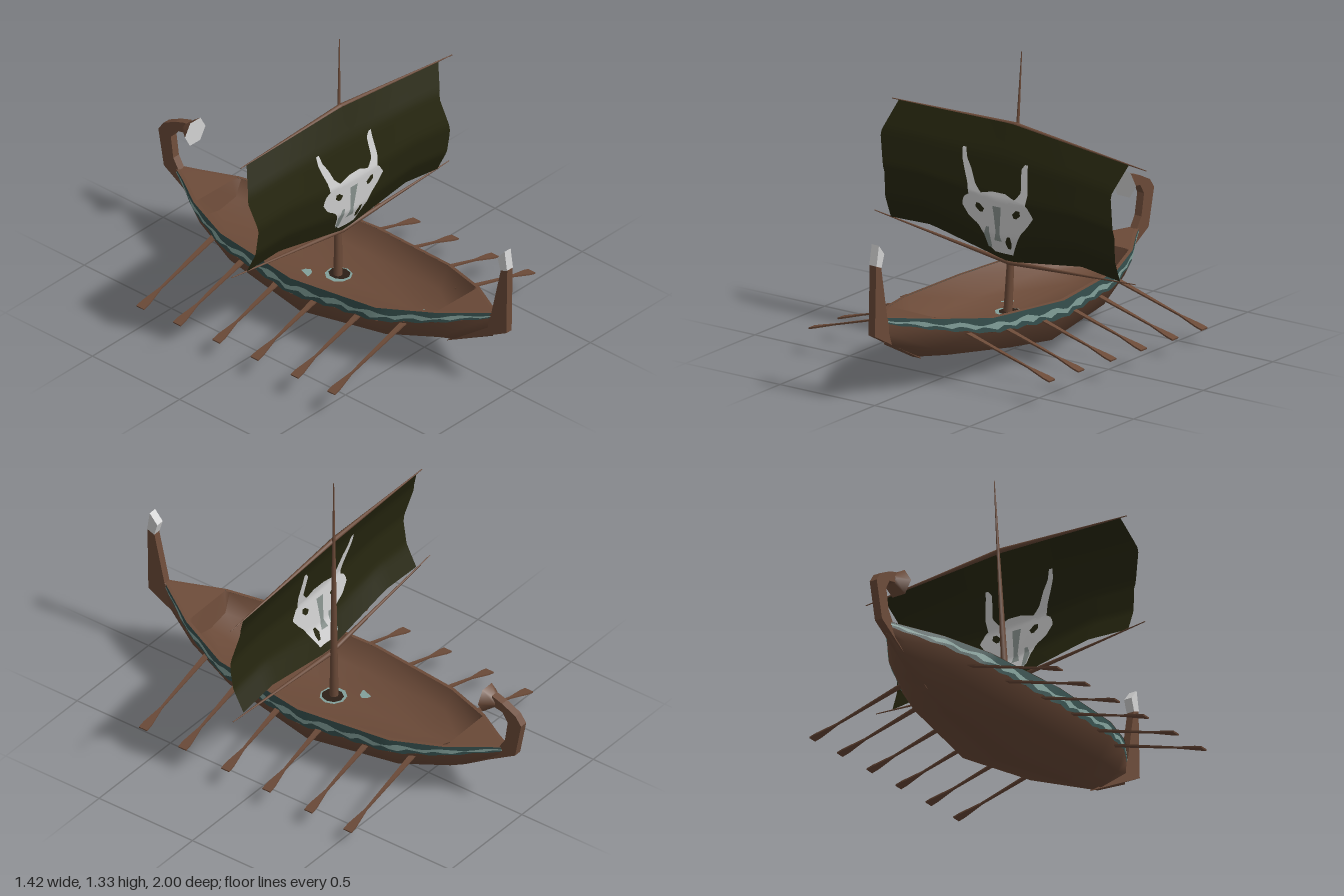
import * as THREE from 'three';

const mat = (name, color) => Object.assign(
  new THREE.MeshStandardMaterial({ color, side: THREE.DoubleSide }), { name });
const wood = mat('brown wood', 0x6b4a38);
const darkWood = mat('dark wood', 0x2c1f16);
const cloth = mat('dark olive cloth', 0x26260f);
const bone = mat('bone white', 0xd2d2d2);
const teal = mat('dark teal paint', 0x36504e);
const paleTeal = mat('pale teal paint', 0x82a09a);
const grey = mat('grey shade', 0x8a9490);

// piecewise linear lookup in [[key, value...], ...] sorted by key
function look(table, k, col = 1) {
  let i = 1;
  while (i < table.length - 1 && k > table[i][0]) i++;
  const a = table[i - 1], b = table[i];
  const t = THREE.MathUtils.clamp((k - a[0]) / (b[0] - a[0]), 0, 1);
  return a[col] + (b[col] - a[col]) * t;
}

// skin over equal-length rows of [x, y, z]
function loft(name, rows, material) {
  const n = rows[0].length, idx = [];
  for (let r = 0; r < rows.length - 1; r++)
    for (let c = 0; c < n - 1; c++) {
      const a = r * n + c, b = a + n;
      idx.push(a, b, a + 1, a + 1, b, b + 1);
    }
  const g = new THREE.BufferGeometry();
  g.setAttribute('position', new THREE.Float32BufferAttribute(rows.flat(2), 3));
  g.setIndex(idx);
  g.computeVertexNormals();
  return named(name, g, material);
}

function named(name, geometry, material) {
  const m = new THREE.Mesh(geometry, material);
  m.name = name;
  return m;
}

// tapered round bar between two points
function rod(name, a, b, ra, rb) {
  const A = new THREE.Vector3(...a), B = new THREE.Vector3(...b), d = B.clone().sub(A);
  const m = named(name, new THREE.CylinderGeometry(rb, ra, d.length(), 8), wood);
  m.position.copy(A).add(B).multiplyScalar(0.5);
  m.quaternion.setFromUnitVectors(new THREE.Vector3(0, 1, 0), d.normalize());
  return m;
}

// flat outline in (z, y) given thickness across x
function post(name, pts, width, material) {
  const g = new THREE.ExtrudeGeometry(new THREE.Shape(pts.map(p => new THREE.Vector2(...p))),
    { depth: width, bevelEnabled: false });
  g.translate(0, 0, -width / 2).rotateY(-Math.PI / 2);
  return named(name, g, material);
}

const range = (a, b, n) => Array.from({ length: n + 1 }, (_, i) => a + (b - a) * i / n);

// hull stations: z, half width, rim y, band bottom y, chine half width, chine y, keel y, floor y
const ST = [
  [-0.90, 0.012, 0.312, 0.290, 0.010, 0.28, 0.255, 0.25],
  [-0.82, 0.055, 0.306, 0.275, 0.040, 0.24, 0.205, 0.23],
  [-0.68, 0.140, 0.294, 0.248, 0.100, 0.17, 0.115, 0.20],
  [-0.45, 0.225, 0.278, 0.215, 0.165, 0.115, 0.060, 0.175],
  [0.00, 0.278, 0.272, 0.195, 0.220, 0.082, 0.003, 0.16],
  [0.45, 0.235, 0.300, 0.235, 0.175, 0.140, 0.085, 0.18],
  [0.70, 0.140, 0.340, 0.290, 0.105, 0.200, 0.140, 0.23],
  [0.91, 0.012, 0.372, 0.345, 0.010, 0.300, 0.250, 0.28]];
const st = (z, c) => look(ST, z, c);

function buildHull() {
  const hull = new THREE.Group();
  hull.name = 'hull';
  hull.add(loft('hullPlanking', ST.map(([z, w, , b, c, cy, k]) =>
    [[-w, b, z], [-c, cy, z], [0, k, z], [c, cy, z], [w, b, z]]), wood));

  // hollow inside with floor, end walls and raised end decks
  const inner = z => {
    const w = Math.max(st(z, 1) - 0.012, 0.002), r = st(z, 2), f = st(z, 7);
    return [[-w, r, z], [-w * 0.76, f + 0.02, z], [0, f, z], [w * 0.76, f + 0.02, z], [w, r, z]];
  };
  hull.add(loft('innerFloor', [-0.66, -0.45, 0, 0.45, 0.68].map(inner), wood));
  for (const [za, zb, ze] of [[0.68, 0.70, 0.91], [-0.66, -0.68, -0.90]]) {
    const lid = inner(zb).map(p => [p[0], st(zb, 2), zb]);
    hull.add(loft('endWall', [inner(za), lid], wood));
    hull.add(loft('endDeck', [zb, zb < 0 ? -0.82 : 0.8, ze].map(z =>
      [-1, 0, 1].map(s => [s * st(z, 1), st(z, 2), z])), wood));
  }

  // painted band with a pale wavy stripe, and the rim on top
  for (const s of [-1, 1]) {
    const strip = (name, n, lo, hi, out, m) => hull.add(loft(name, range(-0.90, 0.91, n).map((z, i) => {
      const y = t => st(z, 3) + (st(z, 2) - st(z, 3)) * t, x = s * (st(z, 1) + out);
      return [[x, y(hi(i)), z], [x, y(lo(i)), z]];
    }), m));
    strip('paintedBand', 32, i => (i % 2 ? -0.12 : 0.03), () => 1, 0.001, teal);
    strip('paleStripe', 48, i => 0.25 + 0.13 * Math.sin(i * 2.1), i => 0.55 + 0.13 * Math.sin(i * 1.3),
      0.004, paleTeal);
    hull.add(loft('rim', ST.map(([z, w, r]) =>
      [[s * (w + 0.003), r, z], [s * Math.max(w - 0.014, 0), r + 0.002, z]]), wood));
  }

  // worn paint on the floor
  for (const [x, z, a, b, y, m] of [[-0.02, 0.52, 0.06, 0.04, 0.192, paleTeal], [-0.10, -0.09, 0.05, 0.03, 0.172, paleTeal],
    [0.005, 0.02, 0.06, 0.06, 0.169, paleTeal], [0.01, 0.02, 0.045, 0.05, 0.172, darkWood]]) {
    const p = named('floorPatch', new THREE.CircleGeometry(1, 9).rotateX(-Math.PI / 2), m);
    p.scale.set(a, 1, b);
    p.position.set(x, y, z);
    hull.add(p);
  }

  // bow post with pale tip
  hull.add(post('bowPost', [[0.66, 0.125], [1, 0.31], [1, 0.625], [0.963, 0.61], [0.912, 0.37], [0.80, 0.26]], 0.034, wood));
  hull.add(post('bowTip', [[1, 0.625], [0.985, 0.715], [0.945, 0.668], [0.963, 0.61]], 0.038, bone));

  // curled stern post with flared end
  hull.add(post('sternPost', [[-0.62, 0.095], [-0.965, 0.30], [-1, 0.47], [-0.97, 0.512], [-0.9, 0.547],
    [-0.845, 0.565], [-0.84, 0.515], [-0.9, 0.503], [-0.928, 0.46], [-0.912, 0.36], [-0.88, 0.31], [-0.8, 0.25]], 0.036, wood));
  const flare = named('sternFlare', new THREE.CylinderGeometry(0.065, 0.022, 0.055, 6, 1).rotateX(Math.PI / 2),
    [wood, bone, wood]);
  flare.geometry.rotateZ(Math.PI / 6);
  flare.position.set(0, 0.53, -0.833);
  hull.add(flare);
  hull.position.x = -0.022;
  hull.rotation.z = -0.02;
  return hull;
}

function buildOars() {
  const oars = new THREE.Group();
  oars.name = 'oars';
  const slope = 0.29, tip = 0.635;
  for (const z of [0.56, 0.35, 0.12, -0.10, -0.325, -0.535])
    for (const s of [-1, 1]) {
      const x0 = st(z, 1) - 0.03, k = Math.hypot(1, slope), L = (tip - x0) * k, n = L - 0.13 * k;
      const shape = new THREE.Shape([[0, -0.014], [n, -0.005], [L - 0.035, -0.021], [L, -0.021],
        [L, 0.021], [L - 0.035, 0.021], [n, 0.005], [0, 0.014]].map(p => new THREE.Vector2(...p)));
      const g = new THREE.ExtrudeGeometry(shape, { depth: 0.007, bevelEnabled: false });
      g.rotateX(-Math.PI / 2).rotateZ(-Math.atan(slope));
      const oar = named('oar', g, wood);
      if (s < 0) oar.rotation.y = Math.PI;
      oar.position.set(-0.022 + s * x0, 0.088 + 0.045 * z + (tip - x0) * slope, z);
      oars.add(oar);
    }
  return oars;
}

// sail outline and belly
const TOP = [[-0.65, 1.005], [0, 1.01], [0.65, 0.937]];
const BOTTOM = [[-0.62, 0.485], [-0.41, 0.49], [0, 0.40], [0.39, 0.45], [0.6, 0.42]];
const LEFT = [[0, -0.62], [0.42, -0.61], [0.73, -0.65], [1, -0.595]];
const RIGHT = [[0, 0.59], [0.4, 0.605], [0.73, 0.565], [1, 0.62]];
const BELLY = [[0, 0.04], [0.2, 0.088], [0.47, 0.103], [0.77, 0.07], [1, 0.018]];
const sailZ = (x, y) => look(BELLY, (y - look(BOTTOM, x)) / (look(TOP, x) - look(BOTTOM, x)));

function buildSail() {
  const sail = new THREE.Group();
  sail.name = 'sail';
  sail.add(loft('sailCloth', range(0, 1, 24).map(v => range(0, 1, 24).map(u => {
    const x = look(LEFT, v) * (1 - u) + look(RIGHT, v) * u;
    const b = look(BOTTOM, x);
    return [x, b + (look(TOP, x) - b) * v, look(BELLY, v)];
  })), cloth));

  // painted shapes as rows of [y, x from, x to], on both faces
  const paint = (name, spans, m, lift) => {
    for (const s of [-1, 1])
      sail.add(loft(name, range(spans[0][0], spans[spans.length - 1][0], 20).map(y =>
        range(look(spans, y, 1), look(spans, y, 2), 6).map(x => [x, y, sailZ(x, y) + s * lift])), m));
  };
  paint('skullFace', [[0.44, -0.055, 0.04], [0.47, -0.088, 0.055], [0.52, -0.095, 0.085], [0.56, -0.115, 0.11],
    [0.59, -0.165, 0.14], [0.64, -0.2, 0.178], [0.67, -0.19, 0.155], [0.69, -0.175, 0.145], [0.705, -0.11, 0.07], [0.722, -0.04, 0.03]], bone, 0.005);
  paint('leftHorn', [[0.68, -0.16, -0.06], [0.71, -0.165, -0.10], [0.74, -0.172, -0.13], [0.80, -0.197, -0.158],
    [0.84, -0.212, -0.185], [0.885, -0.216, -0.198]], bone, 0.005);
  paint('rightHorn', [[0.68, 0.04, 0.135], [0.71, 0.085, 0.14], [0.74, 0.108, 0.145], [0.80, 0.102, 0.136],
    [0.84, 0.098, 0.13], [0.862, 0.115, 0.13]], bone, 0.005);
  paint('eye', [[0.622, -0.105, -0.09], [0.64, -0.125, -0.08], [0.66, -0.122, -0.105]], cloth, 0.008);
  paint('eye', [[0.622, 0.075, 0.09], [0.64, 0.068, 0.11], [0.66, 0.09, 0.108]], cloth, 0.008);
  paint('noseShade', [[0.50, -0.04, 0.0], [0.54, -0.025, -0.005], [0.62, -0.03, 0.005], [0.66, -0.035, 0.01]], grey, 0.008);
  paint('cheekShade', [[0.46, -0.085, -0.065], [0.52, -0.092, -0.06], [0.56, -0.075, -0.06]], grey, 0.008);
  paint('cheekHole', [[0.47, 0.025, 0.04], [0.50, 0.018, 0.05], [0.53, 0.035, 0.05]], cloth, 0.008);
  return sail;
}

function buildRigging() {
  const rig = new THREE.Group();
  rig.name = 'rigging';
  rig.add(rod('mast', [-0.018, 0.15, 0.02], [0.03, 1.33, -0.015], 0.02, 0.002));
  // bent yards, thick in the middle
  for (const [mid, ends] of [
    [[0.01, 1.006, 0.006], [[-0.63, 1.006, 0.016], [0.71, 0.932, 0.016]]],
    [[0.0, 0.393, 0.03], [[-0.71, 0.496, 0.035], [0.67, 0.421, 0.035]]]])
    for (const e of ends) rig.add(rod('yard', mid, e, 0.011, 0.002));
  return rig;
}

export function createModel() {
  const ship = new THREE.Group();
  ship.name = 'ship';
  ship.add(buildHull(), buildOars(), buildSail(), buildRigging());
  return ship;
}
